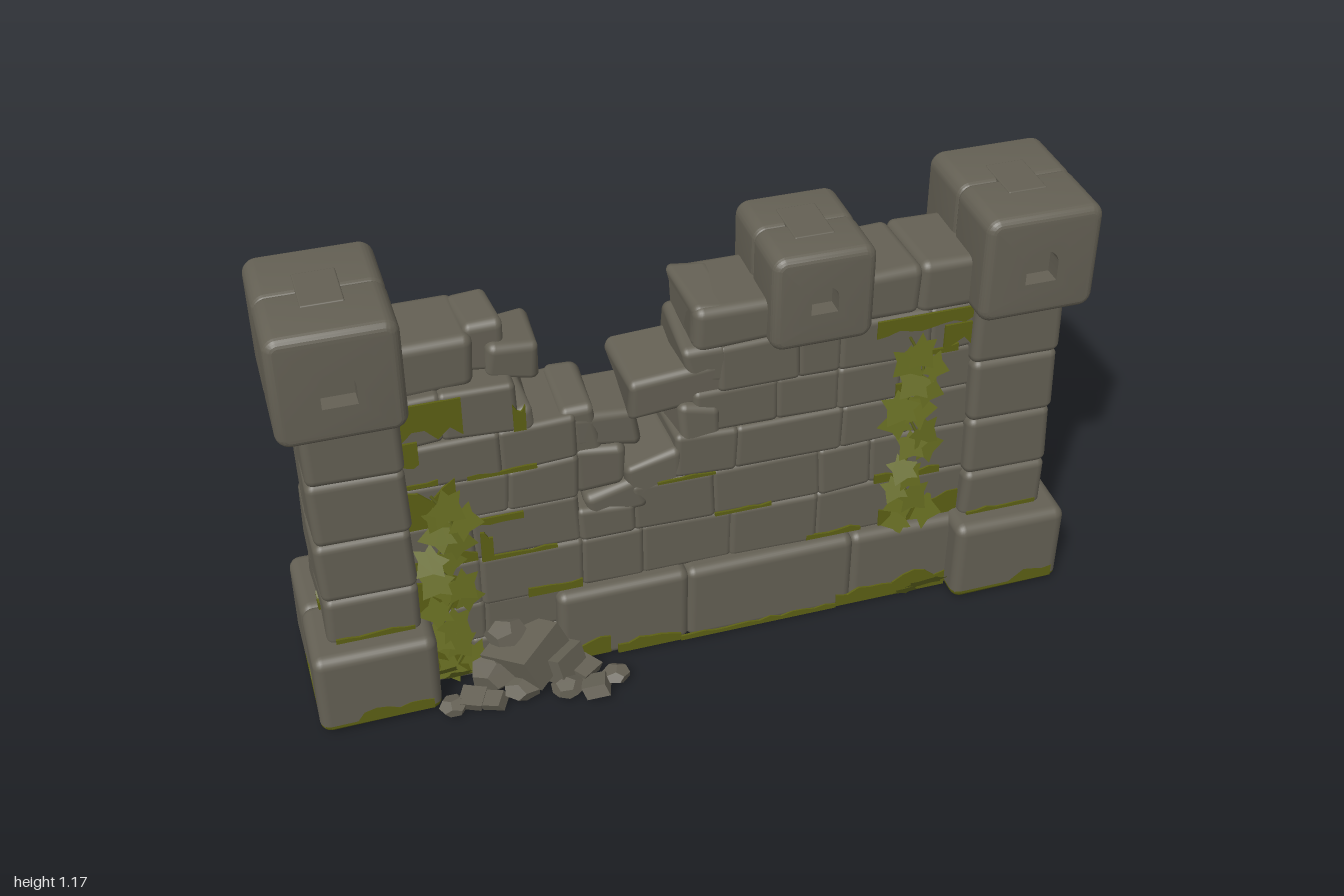
import * as THREE from 'three';
import { RoundedBoxGeometry } from 'three/addons/geometries/RoundedBoxGeometry.js';
import { toCreasedNormals } from 'three/addons/utils/BufferGeometryUtils.js';

export function createModel() {
  const root = new THREE.Group();
  root.name = 'ruinedWall';
  const stone = new THREE.MeshStandardMaterial({ color: 0x646054 });
  stone.name = 'stone';
  const moss = new THREE.MeshStandardMaterial({ color: 0x5c6014 });
  moss.name = 'moss';
  const ivy = new THREE.MeshStandardMaterial({ color: 0x646a20, side: THREE.DoubleSide });
  ivy.name = 'ivy';

  let seed = 11;
  const rnd = () => (seed = (seed * 16807) % 2147483647) / 2147483647;
  const jit = (a) => (rnd() * 2 - 1) * a;
  const ZC = -0.015; // middle plane of the wall

  const add = (name, geo, mat, parent = root) => {
    const m = new THREE.Mesh(geo, mat);
    m.name = name;
    parent.add(m);
    return m;
  };

  // Worn block: rounded box with slightly skewed corners, grown a little to close the joints
  function block(name, [x0, x1], [y0, y1], [z0, z1], r = 0.016, skew = 0.003) {
    const g = 0.004;
    const geo = new RoundedBoxGeometry(x1 - x0 + 2 * g, y1 - y0 + 2 * g, z1 - z0, 3, r);
    const cx = (x0 + x1) / 2, cy = (y0 + y1) / 2, cz = (z0 + z1) / 2;
    const p = geo.attributes.position;
    for (let i = 0; i < p.count; i++) {
      const x = p.getX(i) + cx, y = p.getY(i) + cy, z = p.getZ(i) + cz;
      p.setXYZ(i,
        p.getX(i) + skew * Math.sin(y * 31 + z * 17),
        p.getY(i) + (cy < 0.14 ? 0 : skew * Math.sin(x * 23 + z * 29)),
        p.getZ(i) + skew * Math.sin(x * 19 + y * 37));
    }
    const m = add(name, geo, stone);
    m.position.set(cx, Math.max(cy, (y1 - y0) / 2 + g), cz);
    return m;
  }

  // Moss on the rounded lower edges of a block, as face groups
  function mossFoot(mesh) {
    const geo = mesh.geometry, n = geo.attributes.normal;
    geo.clearGroups();
    for (let i = 0; i < n.count; i += 3) {
      const ny = (n.getY(i) + n.getY(i + 1) + n.getY(i + 2)) / 3;
      const slot = ny < -0.08 && ny > -0.995 ? 1 : 0;
      const last = geo.groups[geo.groups.length - 1];
      if (last && last.materialIndex === slot) last.count += 3;
      else geo.addGroup(i, 3, slot);
    }
    mesh.material = [stone, moss];
  }

  // Courses of the wall: [x0, x1, y0, y1, number of blocks]
  [
    [-0.74, -0.35, 0, 0.12, 2], [-0.74, -0.35, 0.12, 0.24, 2],
    [-0.74, 0.74, 0.23, 0.38, 7],
    [-0.74, -0.3, 0.38, 0.52, 2], [-0.3, -0.16, 0.38, 0.47, 1], [-0.16, 0.74, 0.38, 0.52, 4],
    [-0.74, -0.3, 0.52, 0.64, 2], [-0.05, 0.74, 0.52, 0.64, 4],
    [-0.74, -0.3, 0.64, 0.76, 2], [0.0, 0.74, 0.64, 0.76, 4],
    [-0.74, -0.44, 0.76, 0.89, 2], [0.06, 0.74, 0.76, 0.89, 4],
  ].forEach(([x0, x1, y0, y1, n]) => {
    const w = (x1 - x0) / n;
    const cuts = Array.from({ length: n + 1 }, (_, i) => x0 + w * i + (i && i < n ? jit(w * 0.22) : 0));
    for (let i = 0; i < n; i++)
      block('wallBlock', [cuts[i], cuts[i + 1]], [y0, y1], [-0.13 + jit(0.004), 0.1 + jit(0.004)]);
  });

  // Walkway slabs on top of the wall
  block('topSlab', [-0.74, -0.53], [0.885, 1.02], [-0.135, 0.075], 0.025);
  block('topSlab', [0.0, 0.2], [0.885, 0.995], [-0.135, 0.1], 0.025);
  block('topSlab', [0.42, 0.57], [0.885, 1.015], [-0.14, 0.1], 0.025);
  block('topSlab', [0.57, 0.72], [0.885, 1.02], [-0.14, 0.1], 0.025);

  // Loose stones around the breach: x range, y range, z range, tilt
  [
    [[-0.54, -0.45], [0.9, 1.03], [-0.12, 0.05], 0.08],
    [[-0.49, -0.37], [0.88, 0.975], [-0.08, 0.06], -0.1],
    [[-0.46, -0.4], [0.75, 0.81], [-0.12, 0.09], 0.3],
    [[-0.31, -0.14], [0.645, 0.735], [-0.11, 0.08], -0.06],
    [[-0.32, -0.24], [0.6, 0.77], [-0.12, 0.09], 0.1],
    [[-0.3, -0.18], [0.53, 0.65], [-0.1, 0.09], 0.12],
    [[-0.27, -0.13], [0.45, 0.53], [-0.11, 0.1], 0.2],
    [[-0.17, -0.03], [0.48, 0.59], [-0.12, 0.1], 0.22],
    [[-0.04, 0.06], [0.6, 0.72], [-0.12, 0.1], -0.08],
    [[-0.16, 0.09], [0.73, 0.84], [-0.12, 0.09], 0.13],
    [[-0.02, 0.09], [0.79, 0.9], [-0.13, 0.1], 0.1],
    [[0.0, 0.1], [0.9, 1.0], [-0.13, 0.09], 0.07],
  ].forEach(([x, y, z, tilt]) => {
    block('brokenStone', x, y, z, 0.02, 0.008).rotation.set(jit(0.04), jit(0.06), tilt);
  });

  // Plinth along the foot of the wall
  [-0.37, -0.03, 0.42, 0.74].forEach((x, i, a) => {
    if (i < 3) block('plinthBlock', [x, a[i + 1]], [0, 0.225], [-0.19 + i * 0.009, 0.135 + jit(0.003)], 0.025);
  });

  // Square cap with an arched niche front and back, made of two halves
  function cap(name, cx, w, y0, y1, z0, z1, nicheY, R) {
    const b = 0.026, h = w / 2, r = 0.036, hy = (y1 - y0) / 2;
    const s = new THREE.Shape();
    const corners = [[h - r, hy - r, 0], [r - h, hy - r, 1], [r - h, r - hy, 2], [h - r, r - hy, 3]];
    corners.forEach(([x, y, q]) => s.absarc(x, y, r, q * Math.PI / 2, (q + 1) * Math.PI / 2, false));
    const ay = nicheY - (y0 + y1) / 2, drop = 1.15 * R; // arch centre and sill depth below it
    const hole = new THREE.Path();
    hole.moveTo(-R, ay - drop);
    hole.lineTo(-R, ay);
    hole.absarc(0, ay, R, Math.PI, 0, true);
    hole.lineTo(R, ay - drop);
    hole.closePath();
    s.holes.push(hole);
    [[z0, ZC + 0.01], [ZC - 0.01, z1]].forEach(([a, c]) => {
      const geo = new THREE.ExtrudeGeometry(s, {
        depth: c - a - 2 * b, bevelThickness: b, bevelSize: b, bevelOffset: -b, bevelSegments: 6, curveSegments: 6,
      });
      // Keep the niche walls straight: only the outer edges are bevelled
      const p = geo.attributes.position;
      for (let i = 0; i < p.count; i++) {
        const x = p.getX(i), dy = p.getY(i) - ay;
        if (Math.abs(x) > 0.075) continue;
        const k = dy > 0 ? Math.min(1, R / Math.hypot(x, dy)) : 1;
        p.setXY(i, THREE.MathUtils.clamp(x * k, -R, R), ay + Math.max(dy * k, -drop));
      }
      add(name, toCreasedNormals(geo, 0.2), stone).position.set(cx, (y0 + y1) / 2, a + b);
    });
    const core = add(name + 'NicheBack', new THREE.BoxGeometry(w - 0.07, y1 - y0 - 0.07, z1 - z0 - 0.09), stone);
    core.position.set(cx, (y0 + y1) / 2, (z0 + z1) / 2);
    const key = add(name + 'Keystone', new RoundedBoxGeometry(0.1, 0.03, 0.14, 2, 0.004), stone);
    key.position.set(cx, y1 - 0.012, ZC);
  }
  cap('merlon', 0.305, 0.26, 0.87, 1.13, -0.165, 0.14, 1.005, 0.034);

  // Thin wavy moss plate; the ragged edge is its top, or its bottom when flipped
  function mossPlate(w, h, flip = false) {
    const s = new THREE.Shape(), n = Math.max(3, Math.round(w / 0.03)), k = flip ? -1 : 1;
    s.moveTo(0, 0);
    s.lineTo(w, 0);
    for (let i = n; i >= 0; i--) s.lineTo(w * i / n, k * h * (0.75 + jit(0.25)));
    return new THREE.ExtrudeGeometry(s, { depth: 0.006, bevelEnabled: false });
  }
  const mossFront = (x0, x1, y, h, z, flip) => add('moss', mossPlate(x1 - x0, h, flip), moss).position.set(x0, y, z);
  const mossBack = (x0, x1, y, h, z, flip) => {
    const m = add('moss', mossPlate(x1 - x0, h, flip), moss);
    m.position.set(x1, y, z);
    m.rotation.y = Math.PI;
  };
  const mossSide = (side, z0, z1, x, y, h, flip) => {
    const m = add('moss', mossPlate(z1 - z0, h, flip), moss);
    m.position.set(side * x, y, side > 0 ? z1 : z0);
    m.rotation.y = side * Math.PI / 2;
  };

  // Corner pillars: base, four courses and a cap, each split front and back
  [-1, 1].forEach((side) => {
    const span = (a, b) => (side > 0 ? [a, b] : [-b, -a]);
    const halves = (name, xs, ys, z0, z1, r) => [
      block(name, xs, ys, [z0, ZC + 0.01], r),
      block(name, xs, ys, [ZC - 0.01, z1], r),
    ];
    halves('pillarBase', span(0.695, 0.994), [0, 0.235], -0.23, 0.198, 0.028).forEach(mossFoot);
    [0.23, 0.37, 0.54, 0.72, 0.89].forEach((y, i, a) => {
      const grow = i ? 0 : 0.006;
      if (i < 4) halves('pillarCourse', span(0.72 + jit(0.004), 0.942 + grow + jit(0.006)), [y, a[i + 1]],
        -0.166 - grow + jit(0.004), 0.133 + grow + jit(0.004), 0.022);
    });
    cap('pillarCap', side * 0.848, 0.302, 0.87, side > 0 ? 1.158 : 1.165, -0.2, 0.172, 1.015, 0.041);
    // Moss at the foot and in the joints
    const [fx0, fx1] = span(0.715, 0.975);
    mossFront(fx0, fx1, 0.02, 0.045, 0.194);
    mossBack(fx0, fx1, 0.02, 0.025, -0.226);
    mossSide(side, -0.205, 0.175, 0.992, 0.02, 0.03);
    mossSide(side, -0.021, -0.009, 0.988, 0.01, 0.2);
    mossSide(side, -0.035, 0.005, 0.946, 0.24, 0.035);
    mossSide(side, -0.021, -0.009, 0.94, 0.87, 0.06, true);
    mossFront(...span(0.735, 0.93), 0.24, 0.02, 0.137);
  });

  // Moss on the wall face: x0, x1, y, height, hanging
  [
    [-0.72, -0.57, 0.885, 0.11, true], [-0.72, -0.68, 0.78, 0.1, true], [-0.72, -0.6, 0.52, 0.14],
    [-0.72, -0.64, 0.645, 0.02], [-0.72, -0.56, 0.39, 0.04], [-0.72, -0.6, 0.25, 0.11], [-0.72, -0.6, 0.02, 0.2],
    [-0.57, -0.4, 0.64, 0.015], [-0.55, -0.44, 0.515, 0.025, true], [-0.55, -0.36, 0.38, 0.015],
    [-0.45, -0.42, 0.76, 0.08], [-0.55, -0.52, 0.39, 0.11], [-0.44, -0.3, 0.235, 0.03],
    [-0.1, 0.05, 0.515, 0.012], [0.05, 0.2, 0.378, 0.012], [0.3, 0.45, 0.235, 0.02],
    [0.46, 0.72, 0.885, 0.05, true], [0.52, 0.68, 0.76, 0.025], [0.52, 0.6, 0.645, 0.05],
    [0.48, 0.66, 0.38, 0.03], [0.5, 0.72, 0.235, 0.08], [0.64, 0.72, 0.84, 0.08, true],
  ].forEach(([x0, x1, y, h, hang]) => mossFront(x0, x1, y, h, 0.1, hang));
  mossFront(-0.35, -0.24, 0.02, 0.06, 0.132);
  mossFront(-0.22, -0.05, 0.01, 0.04, 0.132);
  mossFront(-0.05, 0.38, 0.006, 0.02, 0.132);
  mossFront(0.38, 0.54, 0.01, 0.05, 0.132);
  mossFront(0.54, 0.69, 0.01, 0.075, 0.132);
  mossBack(0.5, 0.69, 0.01, 0.035, -0.17);
  mossBack(-0.72, -0.6, 0.88, 0.05, -0.13, true);
  mossBack(-0.72, -0.64, 0.24, 0.04, -0.13);
  mossBack(-0.64, -0.61, 0.64, 0.1, -0.13);

  // Fallen rubble: x, y, z, radius
  [
    [-0.46, 0.085, 0.14, 0.095], [-0.55, 0.05, 0.15, 0.06], [-0.39, 0.055, 0.16, 0.065], [-0.49, 0.03, 0.2, 0.05],
    [-0.62, 0.025, 0.2, 0.04], [-0.67, 0.02, 0.21, 0.035], [-0.57, 0.02, 0.22, 0.035], [-0.38, 0.02, 0.23, 0.04],
    [-0.31, 0.02, 0.25, 0.04], [-0.25, 0.02, 0.22, 0.035], [-0.33, 0.03, 0.18, 0.045], [-0.51, 0.15, 0.12, 0.05],
    [-0.66, 0.025, -0.22, 0.045], [-0.6, 0.03, -0.18, 0.045], [-0.55, 0.02, -0.23, 0.035], [-0.49, 0.03, -0.19, 0.05],
    [-0.5, 0.02, -0.26, 0.035], [-0.43, 0.025, -0.22, 0.045], [-0.68, 0.04, -0.16, 0.045], [-0.42, 0.05, -0.15, 0.05],
  ].forEach(([x, y, z, r], i) => {
    const geo = i % 2 ? new THREE.DodecahedronGeometry(r) : new THREE.BoxGeometry(r * 1.5, r * 1.2, r * 1.4);
    geo.rotateX(jit(0.3)).rotateZ(jit(0.3)).rotateY(jit(1.5)).scale(1.1, r < 0.055 ? 0.65 : 0.9, 1);
    geo.computeBoundingBox();
    add('rubble', geo, stone).position.set(x, Math.max(y, -geo.boundingBox.min.y), z);
  });

  // Ivy: a wavy stem with broad pointed leaves
  const leaf = new THREE.Shape();
  [[0, 0], [0.42, -0.12], [0.36, 0.18], [0.66, 0.42], [0.32, 0.58], [0, 1.05], [-0.32, 0.58], [-0.66, 0.42], [-0.36, 0.18], [-0.42, -0.12]]
    .forEach(([x, y], i) => (i ? leaf.lineTo(x, y) : leaf.moveTo(x, y)));
  const leafGeo = new THREE.ShapeGeometry(leaf);
  function vine(x, y0, y1, count) {
    const g = new THREE.Group();
    g.name = 'ivyVine';
    root.add(g);
    const at = (t) => new THREE.Vector3(x + 0.022 * Math.sin(t * 17), y0 + (y1 - y0) * t, 0.112);
    const path = new THREE.CatmullRomCurve3(Array.from({ length: 12 }, (_, i) => at(i / 11)));
    add('ivyStem', new THREE.TubeGeometry(path, 40, 0.004, 5), ivy, g);
    for (let i = 0; i < count; i++) {
      const m = add('ivyLeaf', leafGeo, ivy, g), side = i % 2 ? 1 : -1;
      m.position.copy(at((i + 0.5) / count)).add(new THREE.Vector3(side * 0.006, 0, 0.012));
      m.rotation.set(-0.3 + jit(0.2), side * 0.2, -side * (2.1 + jit(0.6)));
      m.scale.setScalar(0.073 + jit(0.012));
    }
  }
  vine(-0.64, 0.06, 0.62, 18);
  vine(0.565, 0.24, 0.83, 18);
  // Sprigs at the foot
  [[0.6, 0.03, 0.145], [0.56, 0.02, 0.15], [0.65, 0.03, 0.145], [-0.63, 0.04, 0.13], [-0.68, 0.05, 0.12]].forEach(([x, y, z]) => {
    const m = add('ivySprig', leafGeo, ivy);
    m.position.set(x, y, z);
    m.rotation.set(0.6, 0, jit(0.8));
    m.scale.setScalar(0.065);
  });
  return root;
}
